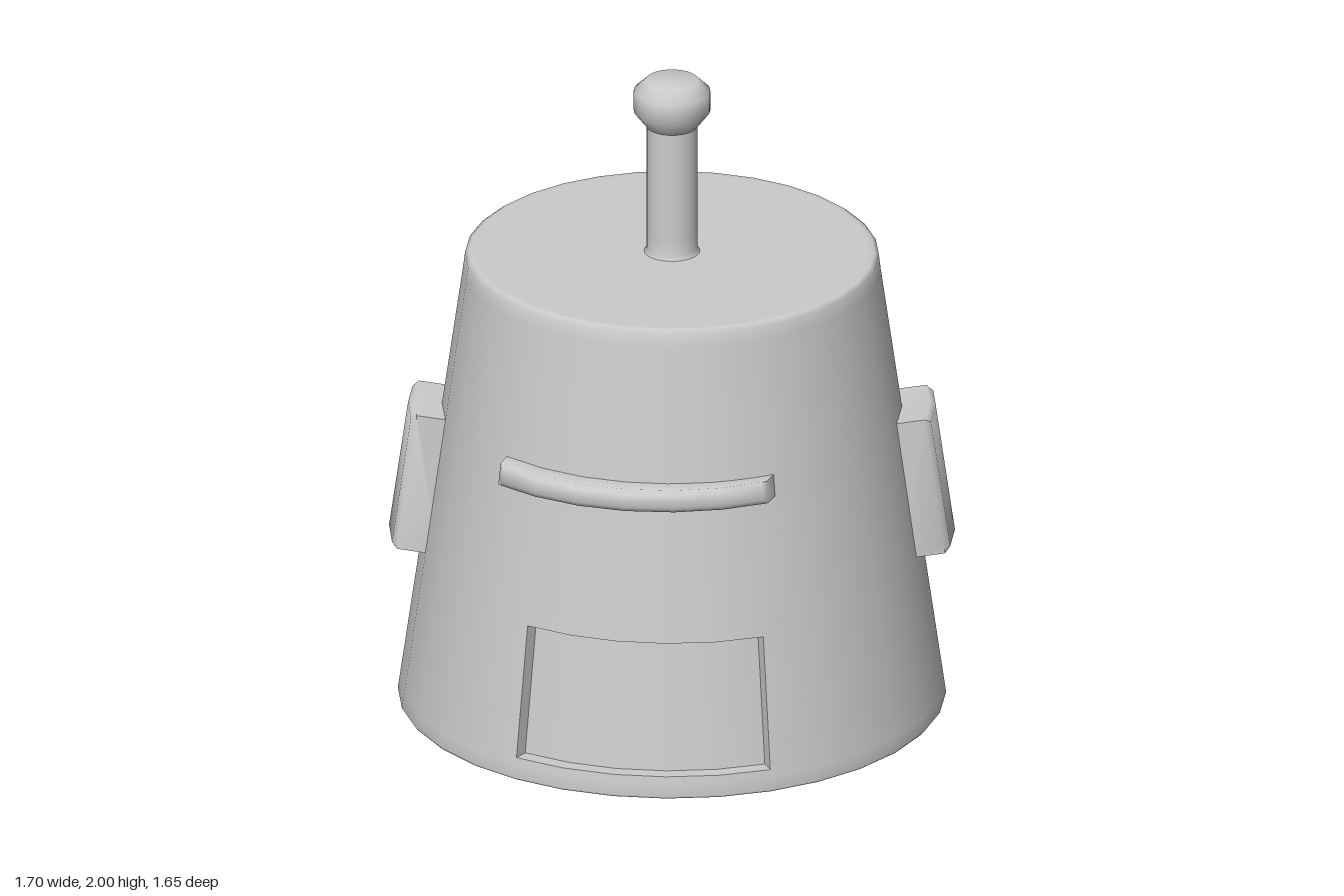
import * as THREE from 'three';
import { mergeGeometries, toCreasedNormals } from 'three/addons/utils/BufferGeometryUtils.js';

const STEP = Math.PI / 16; // the body has 32 sides
const wallRadius = (y) => 0.825 - 0.1424 * y;

function lathe(points, segments = 32, start = 0) {
  return new THREE.LatheGeometry(points.map(([r, y]) => new THREE.Vector2(r, y)), segments, start, segments * STEP);
}

// Curved block standing on the conical wall, pushed out along dir, with softened edges
function wallBlock(a0, a1, n, y0, y1, dir) {
  const d = new THREE.Vector3(...dir);
  const b = 0.014;
  const edge = b / 0.75;
  const columns = [[a0, 0.86]];
  for (let i = 0; i <= n; i++) {
    const a = THREE.MathUtils.clamp(a0 + (a1 - a0) * i / n, a0 + edge, a1 - edge);
    columns.push([a, 1]);
  }
  columns.push([a1, 0.86]);
  // cross-section: height on the wall, fraction of the push
  const section = [[y0, -0.4], [y0, 0.86], [y0 + b, 1], [y1 - b, 1], [y1, 0.86], [y1, -0.4]];
  const pos = [], index = [], m = section.length;
  for (const [a, limit] of columns) {
    for (const [y, s] of section) {
      const r = wallRadius(y), k = Math.min(s, limit);
      pos.push(r * Math.sin(a) + d.x * k, y + d.y * k, r * Math.cos(a) + d.z * k);
    }
  }
  for (let i = 0; i < columns.length - 1; i++) {
    for (let j = 0; j < m; j++) {
      const p = i * m + j, q = i * m + (j + 1) % m;
      index.push(p, p + m, q, q, p + m, q + m);
    }
  }
  const last = (columns.length - 1) * m;
  for (let j = 1; j < m - 1; j++) {
    index.push(0, j, j + 1, last, last + j + 1, last + j);
  }
  const g = new THREE.BufferGeometry();
  g.setAttribute('position', new THREE.Float32BufferAttribute(pos, 3));
  g.setIndex(index);
  return toCreasedNormals(g, 1.0);
}

export function createModel() {
  const group = new THREE.Group();
  const material = new THREE.MeshStandardMaterial({ color: 0xcccccc });
  const thin = new THREE.MeshStandardMaterial({ color: 0xcccccc, side: THREE.DoubleSide });
  const add = (name, geometry, mat = material) => {
    const mesh = new THREE.Mesh(geometry, mat);
    mesh.name = name;
    group.add(mesh);
  };

  // Tapered body, left open where the front recess sits
  const sill = 0.07, lintel = 0.48, depth = 0.046;
  const recessStart = -3 * STEP, recessSides = 5;
  const foot = [[0.817, 0], [0.824, 0.008]];
  const rim = [[wallRadius(1.39), 1.39], [0.622, 1.432], [0.609, 1.442], [0.59, 1.442], [0, 1.442]];
  const wallAt = (y, inset = 0) => [wallRadius(y) - inset, y];
  const bodyParts = [
    lathe([...foot, wallAt(0.05), wallAt(sill), wallAt(lintel), ...rim], 32 - recessSides, 2 * STEP),
    lathe([...foot, wallAt(0.05), wallAt(sill)], recessSides, recessStart),
    lathe([wallAt(lintel), ...rim], recessSides, recessStart),
    lathe([[0, 0], [0.817, 0]]),
  ];
  add('body', mergeGeometries(bodyParts));

  // Recess: sill, back wall and lintel as curved strips, plus two flat jambs
  const strips = [
    [wallAt(sill), wallAt(sill, depth)],
    [wallAt(sill, depth), wallAt(lintel, depth)],
    [wallAt(lintel, depth), wallAt(lintel)],
  ].map((strip) => lathe(strip, recessSides, recessStart));
  add('recess', mergeGeometries(strips), thin);
  for (const [name, a] of [['recessRightJamb', recessStart], ['recessLeftJamb', 2 * STEP]]) {
    const corners = [wallAt(sill), wallAt(sill, depth), wallAt(lintel, depth), wallAt(lintel)];
    const jamb = new THREE.BufferGeometry().setFromPoints(
      corners.map(([r, y]) => new THREE.Vector3(r * Math.sin(a), y, r * Math.cos(a))));
    jamb.setIndex(a < 0 ? [0, 1, 2, 0, 2, 3] : [0, 2, 1, 0, 3, 2]);
    jamb.computeVertexNormals();
    add(name, jamb, thin);
  }

  // Curved ledge above the recess
  add('frontLedge', wallBlock(-4 * STEP, 2.45 * STEP, 6, 0.905, 0.972, [-0.02, 0.017, 0.1]));

  // Side lugs
  for (const [name, side] of [['leftLug', 1], ['rightLug', -1]]) {
    const mid = side * Math.PI / 2;
    add(name, wallBlock(mid - STEP, mid + STEP, 2, 0.51, 0.94, [side * 0.1, 0.015, 0]));
  }

  // Stem with its rounded knob
  add('stem', lathe([[0.085, 1.44], [0.076, 1.455], [0.076, 1.5], [0.076, 1.85]]));
  add('knob', lathe([[0.076, 1.85], [0.115, 1.9], [0.115, 1.965], [0.078, 2], [0, 2]]));

  return group;
}
